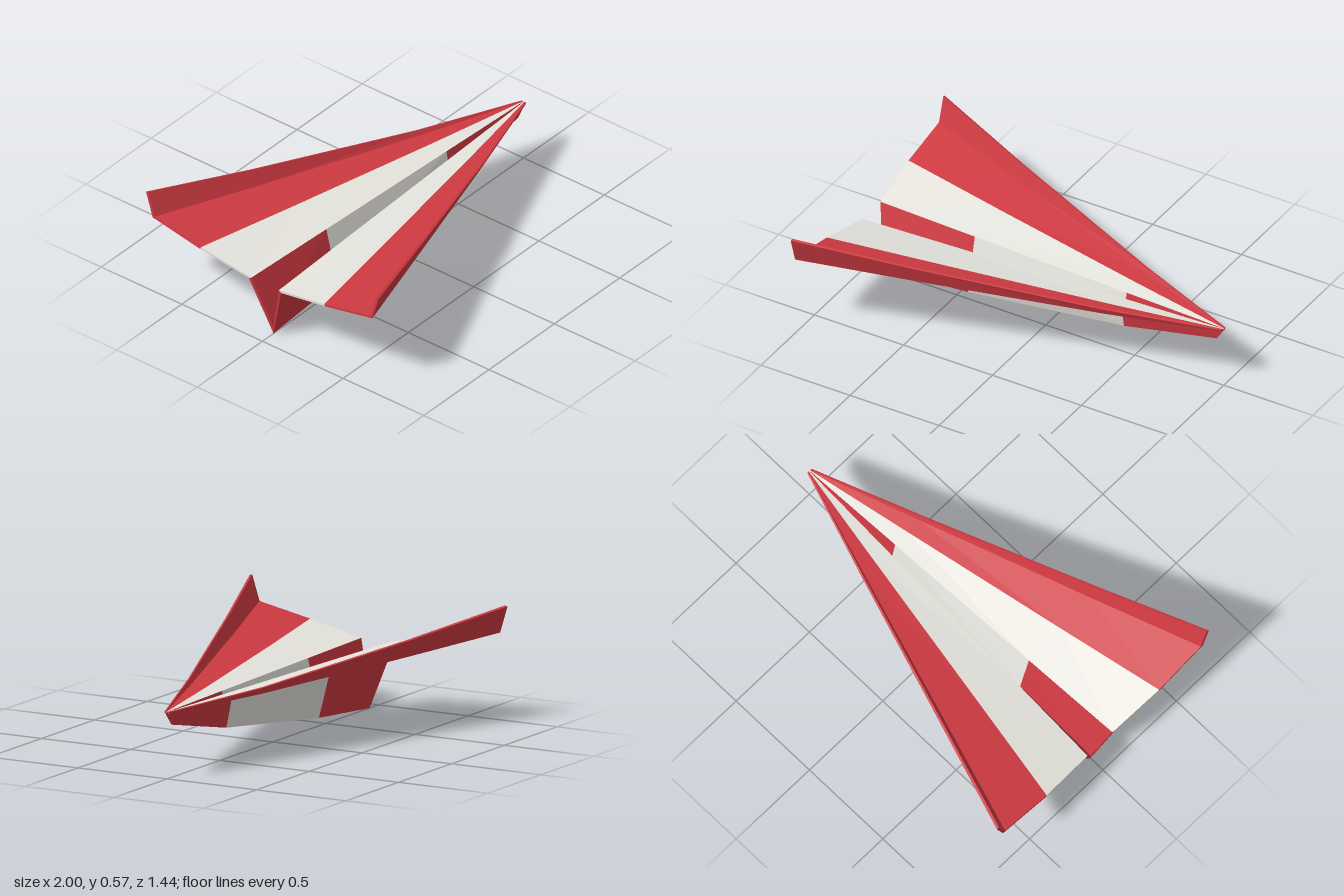
import * as THREE from 'three';

const red = new THREE.MeshStandardMaterial({ color: 0xd03a42 });
red.name = 'red paper';
const white = new THREE.MeshStandardMaterial({ color: 0xe8e6df });
white.name = 'off-white paper';

// Stations from tail to nose: spread across z, and lift of the wing in y
const SPREAD = [1, 0.715, 0.28, 0];
const LIFT = [1, 0.64, 0.175, 0];
const MID_X = [-0.435, 0.44];

// Fold lines: tail/nose x, then [z, y] at tail and nose for the inner and outer paper faces
const LINES = {
  hinge: { x: [-0.98, 1], inner: [[0.085, 0.325], [0.001, 0.33]], outer: [[0.1, 0.315], [0.009, 0.32]] },
  stripe: { x: [-1, 1], inner: [[0.383, 0.384], [0.004, 0.33]], outer: [[0.387, 0.373], [0.01, 0.32]] },
  fold: { x: [-1, 1], inner: [[0.667, 0.44], [0.006, 0.33]], outer: [[0.681, 0.43], [0.013, 0.32]] },
  tip: { x: [-1, 1], inner: [[0.708, 0.567], [0.007, 0.332]], outer: [[0.722, 0.563], [0.015, 0.33]] },
};
const KEEL_X = [-0.915, -0.435, 0.44, 0.96];
const KEEL_Y = [0, 0.039, 0.15, 0.26];

// Point on a fold line at station i
function point(line, face, i) {
  if (line === 'keel') return [KEEL_X[i], KEEL_Y[i] + (face === 'inner' ? 0.035 : 0), 0];
  const l = LINES[line];
  const [tail, nose] = l[face];
  const x = i === 0 ? l.x[0] : i === 3 ? l.x[1] : MID_X[i - 1];
  return [
    x,
    nose[1] + (tail[1] - nose[1]) * LIFT[i],
    nose[0] + (tail[0] - nose[0]) * SPREAD[i],
  ];
}

// Thin solid sheet between two fold lines, from station `from` to station `to`
function sheet(name, a, b, side, material, from = 0, to = 3) {
  const pos = [];
  const quad = (p, q, r, s) => {
    const tris = side > 0 ? [p, q, r, p, r, s] : [p, r, q, p, s, r];
    for (const v of tris) pos.push(v[0], v[1], v[2] * side);
  };
  const ring = (i) => [point(a, 'inner', i), point(b, 'inner', i), point(b, 'outer', i), point(a, 'outer', i)];
  for (let i = from; i < to; i++) {
    const p = ring(i), q = ring(i + 1);
    for (let j = 0; j < 4; j++) {
      const k = (j + 1) % 4;
      quad(p[j], p[k], q[k], q[j]);
    }
  }
  quad(...ring(from).reverse());
  quad(...ring(to));
  const geometry = new THREE.BufferGeometry();
  geometry.setAttribute('position', new THREE.Float32BufferAttribute(pos, 3));
  geometry.computeVertexNormals();
  const mesh = new THREE.Mesh(geometry, material);
  mesh.name = name;
  return mesh;
}

export function createModel() {
  const plane = new THREE.Group();
  plane.name = 'paperPlane';
  for (const [label, side] of [['left', -1], ['right', 1]]) {
    const half = new THREE.Group();
    half.name = `${label}Half`;
    half.add(
      // Keel wall with a pale middle band
      sheet('keelTail', 'keel', 'hinge', side, red, 0, 1),
      sheet('keelBand', 'keel', 'hinge', side, white, 1, 2),
      sheet('keelNose', 'keel', 'hinge', side, red, 2, 3),
      // Wing and upturned winglet
      sheet('innerWing', 'hinge', 'stripe', side, white),
      sheet('outerWing', 'stripe', 'fold', side, red),
      sheet('winglet', 'fold', 'tip', side, red),
    );
    plane.add(half);
  }
  return plane;
}
